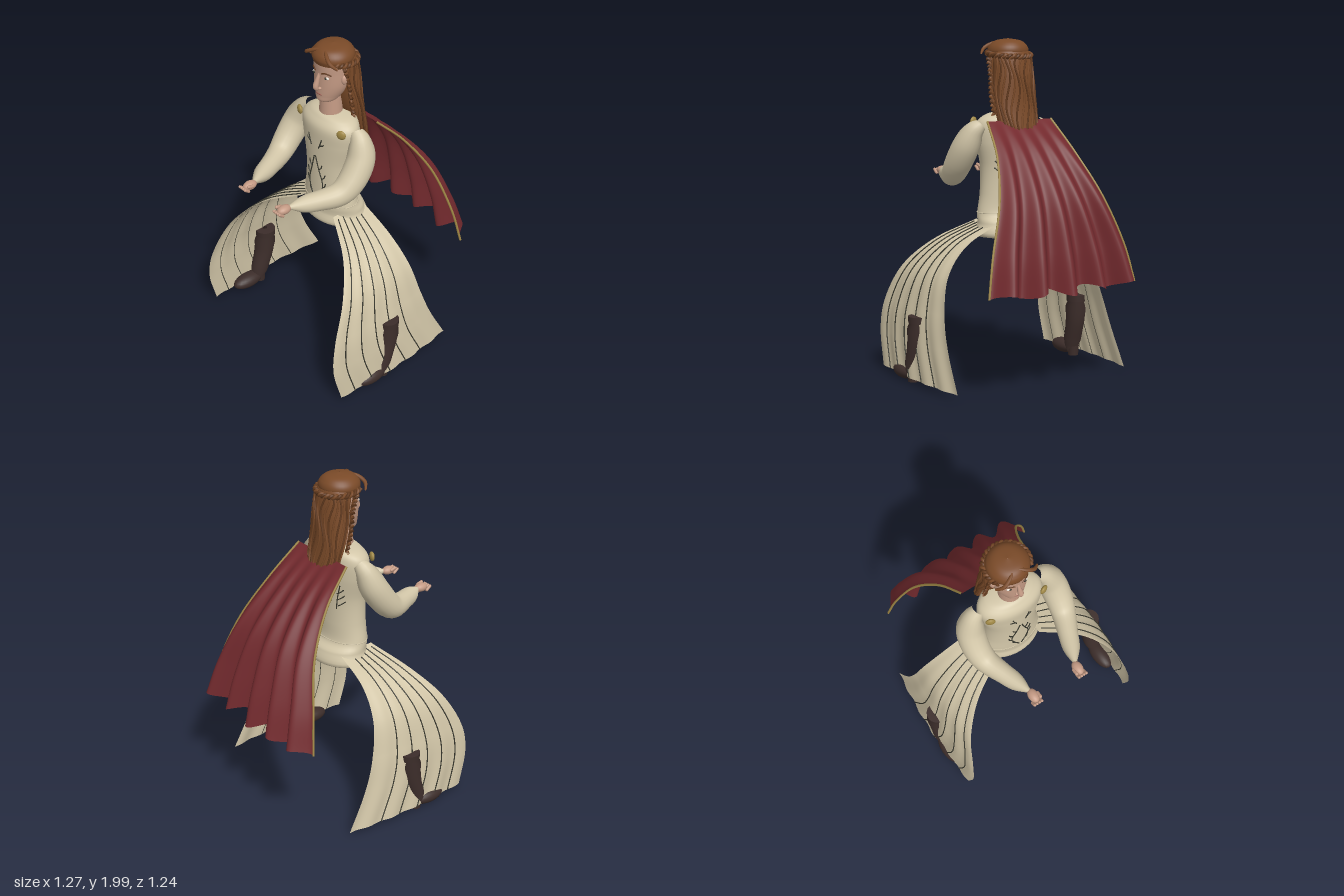
import * as THREE from 'three';
import { ParametricGeometry } from 'three/addons/geometries/ParametricGeometry.js';

const V = (x, y, z) => new THREE.Vector3(x, y, z);
const mat = (color, side = THREE.FrontSide) => new THREE.MeshStandardMaterial({ color, side });
const M = {
  cloth: mat(0xd2c6a8), panel: mat(0xd2c6a8, THREE.DoubleSide), cape: mat(0x732a2e, THREE.DoubleSide),
  hair: mat(0x7a4a28, THREE.DoubleSide), strand: mat(0x623a1e), skin: mat(0xc49a84), boot: mat(0x3c2d2a),
  gold: mat(0xa08846), thread: mat(0x3a3a30), white: mat(0xe6e0d6), lip: mat(0x9c5f55),
};

function add(parent, name, geo, material, pos) {
  const m = new THREE.Mesh(geo, material);
  m.name = name;
  if (pos) m.position.set(...pos);
  parent.add(m);
  return m;
}
const curveOf = pts => new THREE.CatmullRomCurve3(pts.map(p => V(...p)), false, 'catmullrom', 0.5);

// Surface through elliptical rings [y, rx, rz, cz], listed upward; u = 0 is the front
function ringSurface(rows, grow = 0) {
  const size = curveOf(rows.map(r => [r[0], r[1] + grow, r[2] + grow]));
  const mid = curveOf(rows.map(r => [r[3], 0, 0]));
  return (u, v, out) => {
    const a = u * Math.PI * 2, p = size.getPoint(v), c = mid.getPoint(v).x;
    return out.set(Math.sin(a) * Math.max(p.y, 0.0005), p.x, c + Math.cos(a) * Math.max(p.z, 0.0005));
  };
}
const loft = rows => new ParametricGeometry(ringSurface(rows), 40, (rows.length - 1) * 5);

// Round tube whose radius follows a list
function taper(pts, radii, sides = 20, n = 40) {
  const c = curveOf(pts), g = new THREE.TubeGeometry(c, n, 1, sides), p = g.attributes.position;
  const rad = curveOf(radii.map(r => [r, 0, 0]));
  for (let i = 0; i < p.count; i++) {
    const t = Math.floor(i / (sides + 1)) / n, o = c.getPointAt(t);
    const q = V(0, 0, 0).fromBufferAttribute(p, i).sub(o).multiplyScalar(Math.max(rad.getPoint(t).x, 0.0005)).add(o);
    p.setXYZ(i, q.x, q.y, q.z);
  }
  return g;
}
const tube = (pts, r, n = 24) => new THREE.TubeGeometry(curveOf(pts), n, r, 6);
const ball = (rx, ry, rz) => new THREE.SphereGeometry(1, 20, 14).scale(rx, ry, rz);

const TORSO = [
  [0.85, 0.001, 0.001, 0.05], [0.85, 0.2, 0.15, 0.05], [0.93, 0.197, 0.145, 0.055], [0.985, 0.188, 0.122, 0.08],
  [1.1, 0.168, 0.117, 0.083], [1.25, 0.165, 0.117, 0.083], [1.4, 0.195, 0.122, 0.08], [1.5, 0.2, 0.12, 0.08],
  [1.55, 0.155, 0.1, 0.07], [1.57, 0.08, 0.065, 0.075], [1.575, 0.001, 0.001, 0.075]];

// Point on the front (side 1) or back (side -1) of the tunic
function onTunic(x, y, side = 1) {
  const i = Math.max(1, TORSO.findIndex(r => r[0] >= y)), a = TORSO[i - 1], b = TORSO[i];
  const k = (y - a[0]) / (b[0] - a[0] || 1), [, rx, rz, cz] = a.map((v, j) => v + (b[j] - v) * k);
  return [x, y, cz + side * (rz * Math.sqrt(Math.max(0, 1 - (x / rx) ** 2)) + 0.002)];
}

function buildTunic(g) {
  add(g, 'tunic', loft(TORSO), M.cloth);
  const vine = new THREE.Group();
  vine.name = 'embroidery';
  g.add(vine);
  const stitch = (pts, side) => add(vine, 'stitch', tube(pts.map(p => onTunic(...p, side)), 0.0035, 12), M.thread);
  for (const s of [1, -1]) {
    stitch([[s * 0.008, 1.0], [s * 0.045, 1.07], [s * 0.055, 1.13], [s * 0.028, 1.22], [s * 0.004, 1.31]], 1);
    for (const [x, y] of [[0.03, 1.04], [0.053, 1.1], [0.05, 1.16], [0.03, 1.22]])
      stitch([[s * x, y], [s * (x + 0.015), y + 0.015], [s * (x + 0.022), y + 0.04]], 1);
    stitch([[s * 0.03, 1.37], [s * 0.042, 1.4], [s * 0.055, 1.44]], 1);
    stitch([[s * 0.04, 1.39], [s * 0.062, 1.4], [s * 0.07, 1.41]], 1);
    // Sprig on the back
    stitch([[s * 0.08, 1.2], [s * 0.09, 1.28], [s * 0.11, 1.36]], -1);
    for (const y of [1.22, 1.26, 1.3]) stitch([[s * 0.088, y], [s * 0.11, y + 0.015], [s * 0.13, y + 0.035]], -1);
    const b = add(g, 'brooch', ball(0.028, 0.028, 0.014), M.gold, [s * 0.175, 1.515, 0.16]);
    b.rotation.y = s * 0.4;
  }
  const belt = [];
  for (let i = 0; i <= 40; i++) belt.push([Math.sin(i * Math.PI / 20) * 0.188, 0.987, 0.08 + Math.cos(i * Math.PI / 20) * 0.122]);
  add(g, 'waistSeam', tube(belt, 0.003, 80), M.cloth);
}

function buildArm(g, s) {
  add(g, 'sleeve', taper(
    [[s * 0.19, 1.5, 0.06], [s * 0.235, 1.46, 0.07], [s * 0.27, 1.37, 0.1], [s * 0.278, 1.27, 0.17], [s * 0.262, 1.205, 0.25],
      [s * 0.215, 1.19, 0.37], [s * 0.155, 1.192, 0.525], [s * 0.154, 1.192, 0.53]],
    [0.04, 0.075, 0.082, 0.078, 0.068, 0.058, 0.047, 0.001]), M.cloth);
  const hand = new THREE.Group();
  hand.name = 'hand';
  hand.position.set(s * 0.15, 1.19, 0.56);
  g.add(hand);
  add(hand, 'palm', ball(0.03, 0.026, 0.045), M.skin);
  for (let i = 0; i < 4; i++) {
    const f = add(hand, 'finger', new THREE.CapsuleGeometry(0.009, 0.03, 4, 8), M.skin, [(i - 1.5) * 0.016, -0.008, 0.04]);
    f.rotation.x = 0.9;
  }
  const thumb = add(hand, 'thumb', new THREE.CapsuleGeometry(0.01, 0.03, 4, 8), M.skin, [-s * 0.028, 0.012, 0.015]);
  thumb.rotation.x = 1.3;
}

// One half of the spread riding skirt, between a front and a back edge
function buildSkirt(g, s) {
  const front = curveOf([[0.14, 0.935, 0.19], [0.36, 0.82, 0.31], [0.5, 0.66, 0.44], [0.56, 0.45, 0.55], [0.58, 0.26, 0.58], [0.59, 0.04, 0.53]]);
  const back = curveOf([[0.14, 0.93, -0.04], [0.36, 0.82, -0.05], [0.5, 0.66, -0.08], [0.555, 0.45, -0.13], [0.575, 0.26, -0.2], [0.585, 0.04, -0.315]]);
  const at = (u, t, out, lift = 0) => {
    out.copy(front.getPoint(t)).lerp(back.getPoint(t), u);
    const bulge = t * (0.028 * Math.sin(Math.PI * u) + 0.005 * Math.sin(u * Math.PI * 10)) + lift;
    out.x = s * (out.x + bulge);
    out.y += lift * (1 - t);
    return out;
  };
  add(g, 'skirtPanel', new ParametricGeometry((u, t, o) => at(s > 0 ? u : 1 - u, t, o), 50, 40), M.panel);
  for (let k = 0; k < 5; k++) {
    const pts = [];
    for (let i = 0; i <= 20; i++) pts.push(at(0.12 + k * 0.155, 0.02 + i * 0.049, V(0, 0, 0), 0.002).toArray());
    add(g, 'skirtSeam', tube(pts, 0.0035, 50), M.thread);
  }
}

function buildBoot(g, s) {
  add(g, 'bootShaft', taper([[s * 0.565, 0.405, 0.14], [s * 0.565, 0.404, 0.14], [s * 0.568, 0.25, 0.155], [s * 0.572, 0.12, 0.19], [s * 0.575, 0.06, 0.205], [s * 0.575, 0.03, 0.2]],
    [0.001, 0.062, 0.061, 0.056, 0.052, 0.03]), M.boot);
  add(g, 'bootTop', new THREE.CylinderGeometry(0.063, 0.062, 0.04, 24), M.boot, [s * 0.565, 0.388, 0.141]);
  add(g, 'bootFoot', ball(0.054, 0.045, 0.11), M.boot, [s * 0.577, 0.055, 0.285]);
  add(g, 'bootHeel', new THREE.CylinderGeometry(0.036, 0.032, 0.06, 16), M.boot, [s * 0.577, 0.04, 0.19]);
}

function buildCape(g) {
  const edge = curveOf([[0.22, 1.53, -0.06], [0.27, 1.34, -0.24], [0.355, 1.1, -0.39], [0.45, 0.83, -0.47], [0.5, 0.61, -0.51]]);
  const at = (u, t, out) => {
    const e = edge.getPoint(t), w = u * 2 - 1;
    return out.set(w * e.x, e.y - 0.02 * t * t * Math.cos(w * Math.PI * 3.6),
      e.z - 0.055 * t * (1 + Math.cos(w * Math.PI * 5)) - 0.02 * Math.sin(t * Math.PI) * (1 - w * w));
  };
  add(g, 'cape', new ParametricGeometry((u, t, o) => at(1 - u, t, o), 100, 30), M.cape);
  for (const u of [0, 1]) {
    const pts = [];
    for (let i = 0; i <= 14; i++) pts.push(at(u, i / 14, V(0, 0, 0)).toArray());
    add(g, 'capeTrim', tube(pts, 0.007, 50), M.gold);
  }
}

function buildHead(g) {
  add(g, 'neck', new THREE.CylinderGeometry(0.06, 0.068, 0.16, 24), M.skin, [0, 1.62, 0.08]);
  add(g, 'face', loft([[1.658, 0.001, 0.001, 0.11], [1.662, 0.05, 0.055, 0.11], [1.7, 0.077, 0.083, 0.088], [1.76, 0.1, 0.1, 0.07],
    [1.84, 0.108, 0.106, 0.062], [1.92, 0.108, 0.108, 0.06], [1.96, 0.08, 0.08, 0.06], [1.975, 0.001, 0.001, 0.06]]), M.skin);
  add(g, 'nose', taper([[0, 1.85, 0.158], [0, 1.8, 0.178], [0, 1.76, 0.19], [0, 1.74, 0.165]], [0.006, 0.012, 0.017, 0.008], 12, 16), M.skin);
  add(g, 'mouth', ball(0.026, 0.006, 0.008), M.lip, [0, 1.71, 0.166]);
  for (const s of [1, -1]) {
    add(g, 'nostrilWing', ball(0.01, 0.009, 0.01), M.skin, [s * 0.014, 1.752, 0.173]);
    add(g, 'eye', ball(0.019, 0.009, 0.01), M.white, [s * 0.047, 1.825, 0.152]);
    add(g, 'iris', ball(0.008, 0.008, 0.005), M.thread, [s * 0.047, 1.825, 0.16]);
    add(g, 'eyebrow', tube([[s * 0.022, 1.847, 0.166], [s * 0.048, 1.856, 0.16], [s * 0.075, 1.846, 0.141]], 0.004), M.strand);
    add(g, 'ear', ball(0.014, 0.03, 0.02), M.skin, [s * 0.108, 1.81, 0.075]);
  }
}

// Two strands wound round a path
function braid(g, name, path, r, turns) {
  for (const phase of [0, Math.PI]) {
    const pts = [];
    for (let i = 0; i <= turns * 8; i++) {
      const t = i / (turns * 8), p = path(t), a = t * turns * Math.PI * 2 + phase;
      const out = V(p.x, 0, p.z - 0.04).normalize().multiplyScalar(Math.cos(a) * r);
      pts.push([p.x + out.x, p.y + Math.sin(a) * r, p.z + out.z]);
    }
    add(g, name, tube(pts, r * 0.85, turns * 14), phase ? M.strand : M.hair);
  }
}

function buildHair(g) {
  add(g, 'hairCap', loft([[1.9, 0.114, 0.114, 0.06], [1.93, 0.12, 0.12, 0.06], [1.96, 0.106, 0.108, 0.06], [1.985, 0.07, 0.075, 0.06], [1.997, 0.001, 0.001, 0.06]]), M.hair);
  const rows = [[1.27, 0.001, 0.001, -0.095], [1.275, 0.105, 0.036, -0.097], [1.4, 0.115, 0.045, -0.082], [1.6, 0.132, 0.068, -0.025],
    [1.8, 0.124, 0.088, 0.005], [1.92, 0.112, 0.09, 0.03], [1.965, 0.05, 0.05, 0.04], [1.975, 0.001, 0.001, 0.04]];
  add(g, 'longHair', loft(rows), M.hair);
  const skin = ringSurface(rows, 0.001);
  for (let k = 0; k < 17; k++) {
    const pts = [];
    for (let i = 0; i <= 16; i++) {
      const v = 0.14 + i * 0.035;
      pts.push(skin(0.2 + k * 0.0375 + 0.018 * Math.sin(i * 0.9 + k * 0.7), v, V(0, 0, 0)).toArray());
    }
    add(g, 'hairStrand', tube(pts, 0.006, 48), k % 2 ? M.strand : M.hair);
  }
  braid(g, 'crownBraid', t => {
    const a = 0.9 + t * (Math.PI * 2 - 1.8);
    return V(Math.sin(a) * 0.126, 1.915 - 0.02 * Math.sin(t * Math.PI), 0.05 + Math.cos(a) * 0.122);
  }, 0.01, 12);
  for (const s of [1, -1]) {
    const side = curveOf([[s * 0.12, 1.9, 0.09], [s * 0.122, 1.8, 0.06], [s * 0.13, 1.68, 0.045], [s * 0.125, 1.56, 0.02]]);
    braid(g, 'sideBraid', t => side.getPoint(t), 0.01, 7);
    add(g, 'foreheadLock', taper([[s * 0.13, 1.91, 0.145], [s * 0.095, 1.94, 0.168], [s * 0.05, 1.965, 0.155], [s * 0.008, 1.98, 0.125]],
      [0.006, 0.011, 0.011, 0.006], 8, 20), M.hair);
  }
}

export function createModel() {
  const g = new THREE.Group();
  g.name = 'rider';
  buildTunic(g);
  for (const s of [1, -1]) {
    buildArm(g, s);
    buildSkirt(g, s);
    buildBoot(g, s);
  }
  buildCape(g);
  buildHead(g);
  buildHair(g);
  return g;
}
